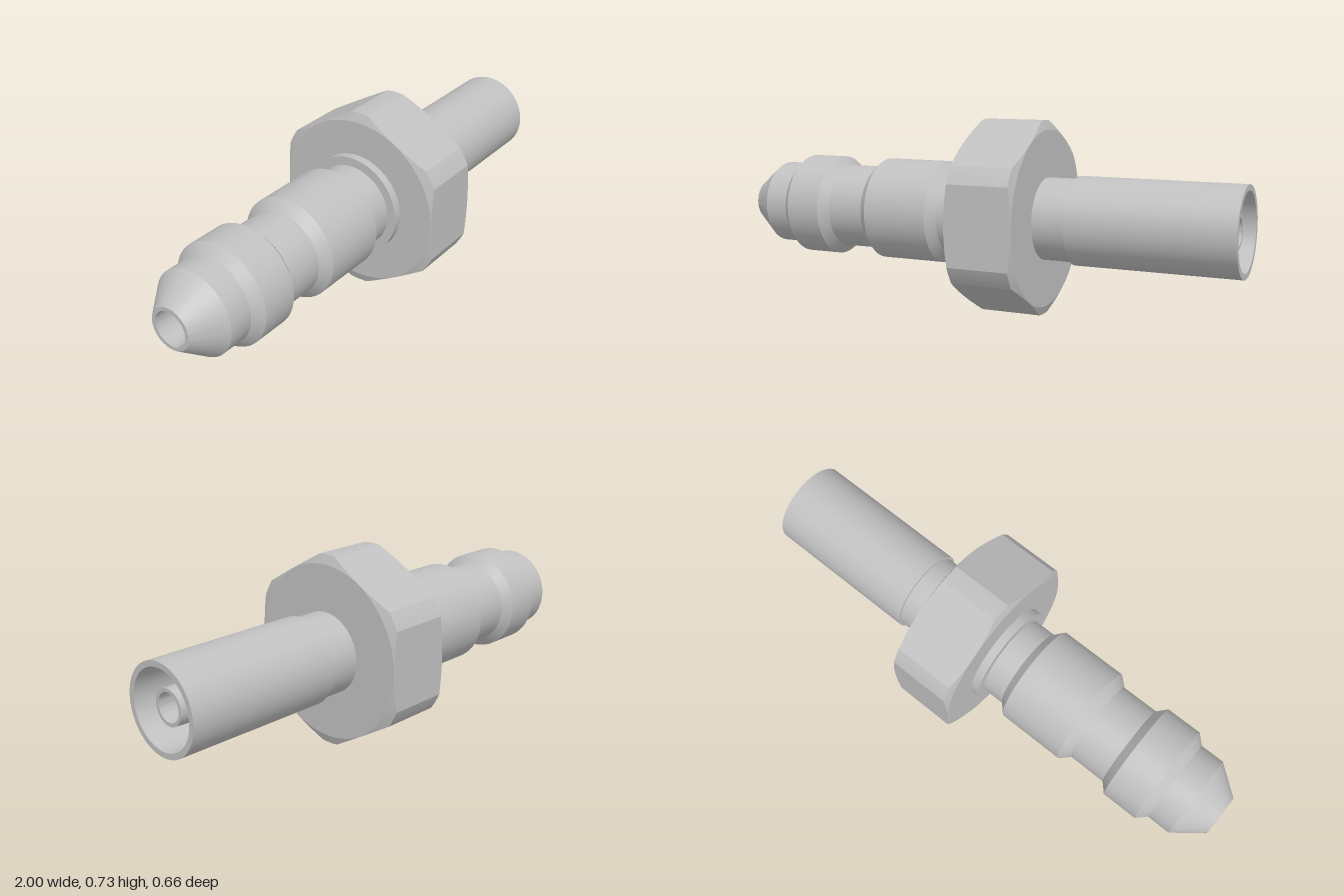
import * as THREE from 'three';
import { toCreasedNormals, mergeVertices } from 'three/addons/utils/BufferGeometryUtils.js';

const AXIS_Y = 0.364;

export function createModel() {
  const group = new THREE.Group();
  const metal = new THREE.MeshStandardMaterial({ color: 0xc0c0c0 });
  metal.name = 'satin metal';

  // Geometries are built along y, then laid along x
  const add = (name, geometry) => {
    geometry.rotateZ(-Math.PI / 2).translate(0, AXIS_Y, 0);
    const mesh = new THREE.Mesh(geometry, metal);
    mesh.name = name;
    group.add(mesh);
  };

  // Revolved part from [position along axis, radius] pairs; outside runs forward, bore runs back
  const turned = (name, profile) => {
    const points = profile.map(([a, r]) => new THREE.Vector2(r, a));
    add(name, toCreasedNormals(new THREE.LatheGeometry(points, 72), 0.25));
  };

  // Barbed hose end with tapered nose and open bore
  turned('hoseBarb', [
    [0.1, 0.052], [-0.1, 0.052], [-0.1, 0.065], [-1, 0.065], [-1, 0.08],
    [-0.893, 0.162], [-0.8, 0.162], [-0.765, 0.196], [-0.625, 0.196], [-0.593, 0.162],
    [-0.447, 0.162], [-0.41, 0.196], [-0.15, 0.196], [-0.118, 0.162], [-0.02, 0.162],
  ]);

  // Thin collar against the hexagon
  turned('collar', [[-0.03, 0.15], [-0.03, 0.196], [0.02, 0.196]]);

  // Neck, outer sleeve and its slightly tapered socket
  turned('sleeve', [
    [0.25, 0.153], [0.39, 0.153], [0.39, 0.164], [1, 0.164], [1, 0.143],
    [0.5, 0.125], [0.5, 0.06],
  ]);

  // Tapered nozzle inside the sleeve, with a through bore
  turned('innerNozzle', [[0.48, 0.08], [0.97, 0.065], [0.97, 0.052], [0.1, 0.052]]);

  add('hexagon', hexGeometry(0.003, 0.265));
  return group;
}

// Hexagon with turned corners and conical chamfers on both end faces
function hexGeometry(start, end) {
  const flat = 0.331, corner = 0.363, face = 0.329, depth = 0.013, sector = Math.PI / 3;
  const half = sector / 2 - Math.acos(flat / corner);

  // Angles: a few over each rounded corner, more along each flat
  const angles = [];
  for (let s = 0; s < 6; s++) {
    for (let i = 0; i < 4; i++) angles.push(s * sector - half + (i / 4) * 2 * half);
    for (let i = 0; i < 14; i++) angles.push(s * sector + half + (i / 14) * (sector - 2 * half));
  }

  const positions = [], indices = [], rings = 6;
  for (const a of angles) {
    const fromCorner = a - Math.round(a / sector) * sector;
    const r = Math.min(corner, flat / Math.cos(sector / 2 - Math.abs(fromCorner)));
    const inset = depth * (r - face) / (corner - face);
    const section = [
      [0.1, start], [face, start], [r, start + inset],
      [r, end - inset], [face, end], [0.1, end],
    ];
    for (const [radius, y] of section) positions.push(radius * Math.cos(a), y, radius * Math.sin(a));
  }
  for (let i = 0; i < angles.length; i++) {
    const next = (i + 1) % angles.length;
    for (let j = 0; j < rings - 1; j++) {
      const a = i * rings + j, b = next * rings + j;
      indices.push(a, a + 1, b, b, a + 1, b + 1);
    }
  }
  const geometry = new THREE.BufferGeometry();
  geometry.setAttribute('position', new THREE.Float32BufferAttribute(positions, 3));
  geometry.setIndex(indices);
  return toCreasedNormals(mergeVertices(geometry), 0.2);
}
